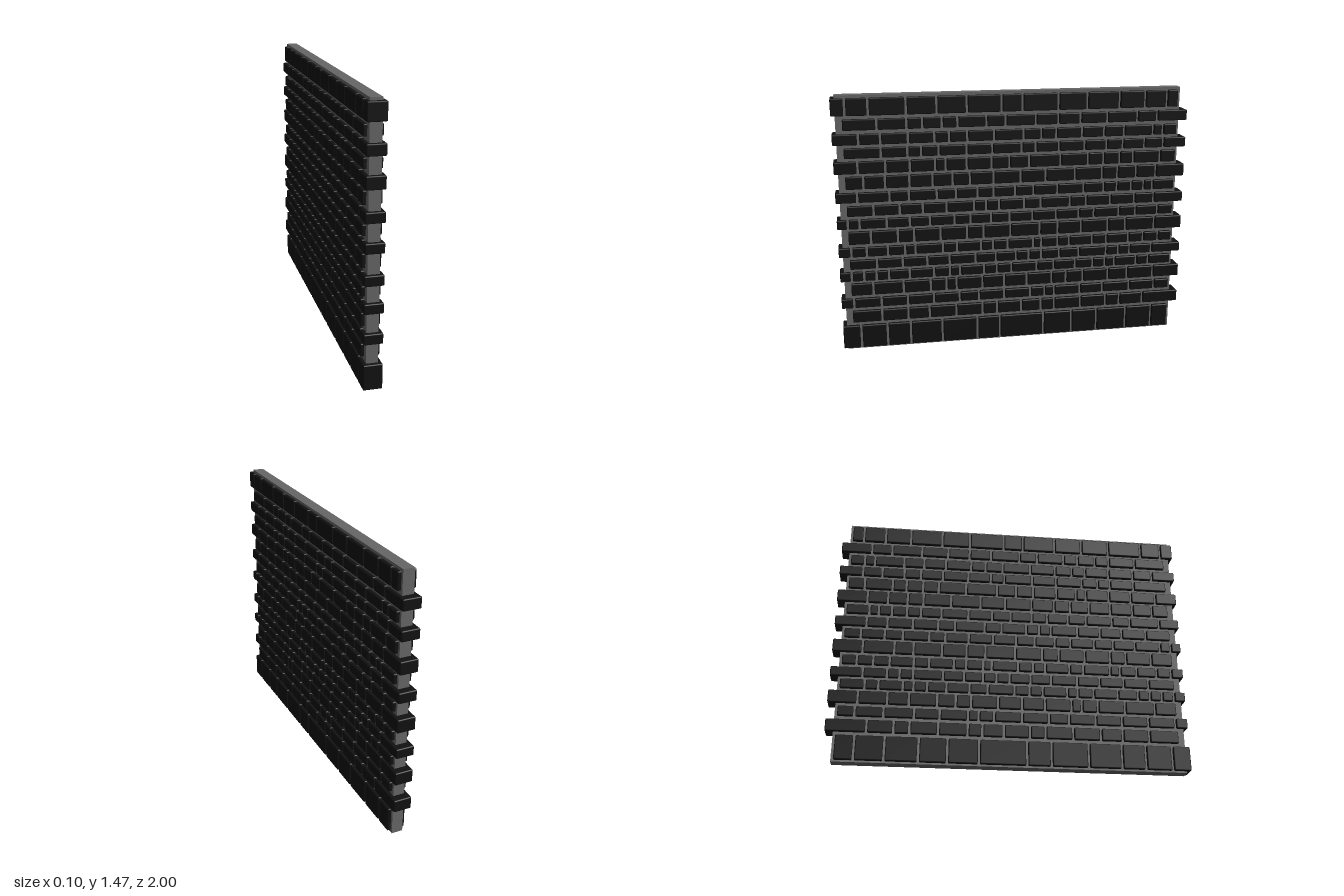
import * as THREE from 'three';
import { RoundedBoxGeometry } from 'three/addons/geometries/RoundedBoxGeometry.js';

const UNIT = 2 / 374;   // the wall is 374 units long, measured from its front end
const GAP = 2.4;        // mortar joint in units
const brickMaterial = new THREE.MeshStandardMaterial({ color: 0x111111 });
const mortarMaterial = new THREE.MeshStandardMaterial({ color: 0x666666 });

// One row of bricks between y0 and y1, split at the given joints
function course(y0, y1, shifted, joints) {
  const row = new THREE.Group();
  row.name = 'brickCourse';
  // alternate courses step back at the front and stick out at the back
  const ends = shifted ? [11, 374] : [0, 363];
  const edges = [ends[0] - GAP / 2, ...joints, ends[1] + GAP / 2];
  for (let i = 0; i < edges.length - 1; i++) {
    const a = edges[i] + GAP / 2, b = edges[i + 1] - GAP / 2;
    const brick = new THREE.Mesh(
      new RoundedBoxGeometry(0.1, y1 - y0, (b - a) * UNIT, 1, 0.006), brickMaterial);
    brick.name = 'brick';
    brick.position.set(0, (y0 + y1) / 2, 1 - (a + b) / 2 * UNIT);
    row.add(brick);
  }
  return row;
}

export function createModel() {
  const wall = new THREE.Group();
  wall.name = 'brickWall';

  // Mortar slab
  const mortar = new THREE.Mesh(new THREE.BoxGeometry(0.062, 1.467, 1.934), mortarMaterial);
  mortar.name = 'mortarCore';
  mortar.position.set(0, 0.7335, 0.011);
  wall.add(mortar);

  // Courses from the large base stones up to the coping
  wall.add(
    course(0.010, 0.146, false, [19, 47, 72, 106.5, 145, 170, 219, 251, 280, 314, 344]),
    course(0.166, 0.235, true, [42, 70, 93, 122, 151, 167, 194, 216, 231, 261, 290, 306, 333]),
    course(0.255, 0.311, false, [13, 42, 70, 98, 126, 147, 175, 204, 220, 231, 260, 286, 317, 346]),
    course(0.330, 0.401, true, [34, 66, 95, 112, 123, 151, 175, 200, 228, 244, 263, 292, 314, 344]),
    course(0.416, 0.470, false, [12, 25, 38, 51, 73, 99, 116, 127, 153, 167, 183, 211, 230, 254, 274, 288, 299, 324, 338]),
    course(0.487, 0.541, true, [39, 66, 92, 116, 144, 166, 188, 202, 216, 236, 258, 289, 303, 316, 341]),
    course(0.560, 0.615, false, [13, 29, 51, 69, 80, 109, 124, 150, 163, 179, 207, 216, 234, 247, 273, 289, 314, 331, 348]),
    course(0.634, 0.708, true, [34, 62, 79, 107, 135, 153, 182, 214, 234, 260, 290, 310, 343]),
    course(0.724, 0.778, false, [11, 23, 51, 75, 96, 122, 139, 161, 181, 206, 232, 257, 274, 302, 321, 346]),
    course(0.797, 0.855, true, [38, 65, 89, 114, 143, 156, 170, 197, 215, 247, 265, 292, 319, 341]),
    course(0.875, 0.931, false, [22, 55, 75, 104, 124, 147, 164, 187, 207, 233, 262, 284, 299, 315, 329, 339]),
    course(0.951, 1.022, true, [29, 51, 76, 100, 121, 139, 164, 193, 220, 252, 282, 299, 320, 342]),
    course(1.038, 1.106, false, [24, 52, 77, 103, 114, 136, 162, 181, 202, 236, 266, 283, 301, 316, 346]),
    course(1.124, 1.180, true, [48, 75, 89, 107, 136, 163, 194, 209, 234, 262, 286, 304, 328, 349]),
    course(1.198, 1.257, false, [26, 48, 76, 103, 118, 137, 165, 196, 215, 231, 259, 283, 305, 337, 348]),
    course(1.278, 1.338, true, [45, 75, 91, 111, 127, 157, 177, 209, 233, 257, 286, 319, 341]),
    course(1.357, 1.452, false, [14, 37, 75, 106, 137, 173, 195, 233, 264, 299, 327, 351]),
  );
  return wall;
}
